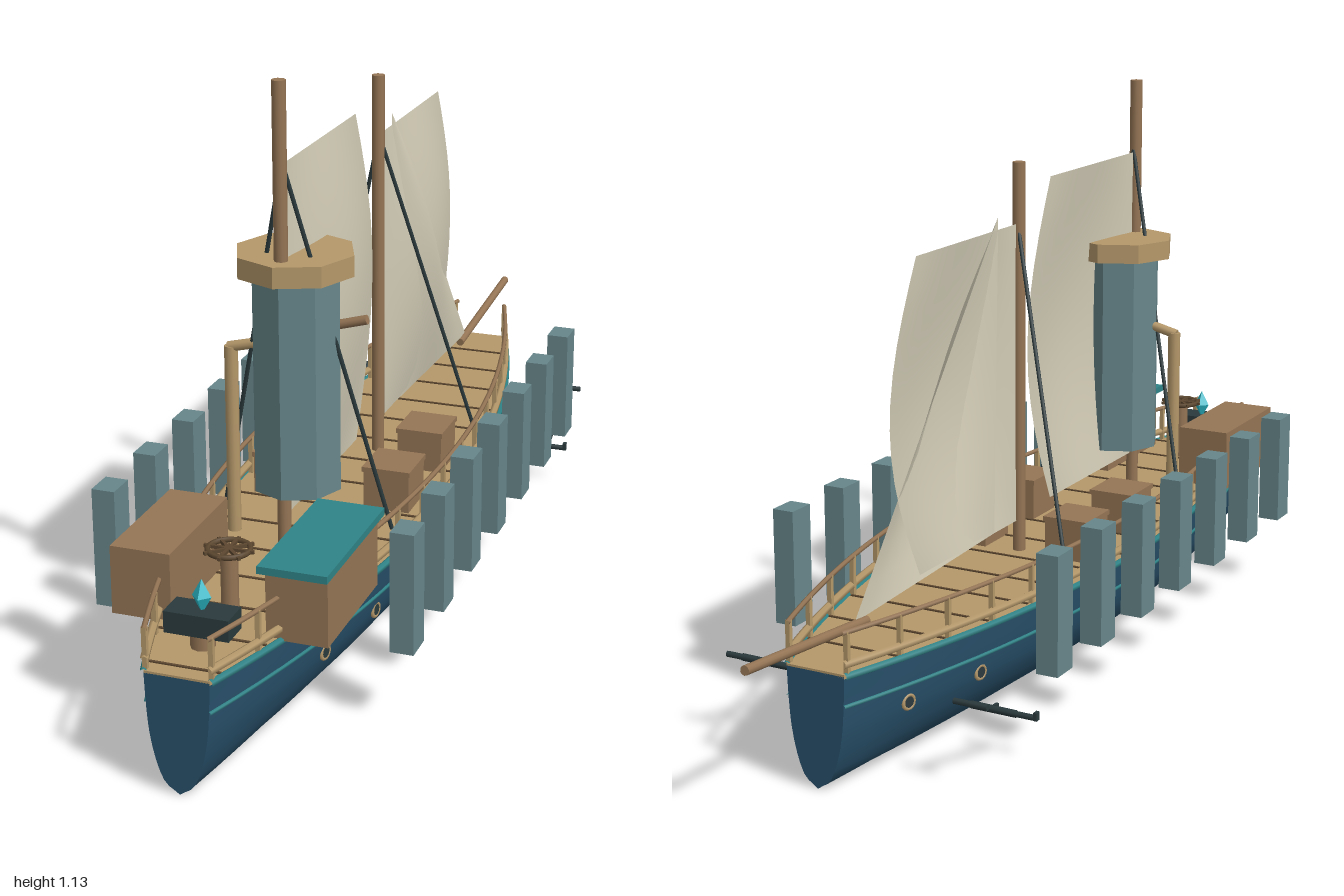
import * as THREE from 'three';

const mat = (name, color, extra = {}) => new THREE.MeshStandardMaterial({ name, color, ...extra });
const V = (x, y, z) => new THREE.Vector3(x, y, z);

export function createModel() {
  const M = {
    hull: mat('hull blue', 0x28506a),
    teal: mat('teal trim', 0x2f8488),
    deck: mat('pale wood', 0xb5986a),
    wood: mat('brown wood', 0x957555),
    slate: mat('slate', 0x67868a),
    sail: mat('sailcloth', 0xd2ccb6, { side: THREE.DoubleSide }),
    iron: mat('dark iron', 0x2b3a3d),
    seam: mat('dark wood', 0x5d4830),
    glow: mat('cyan crystal', 0x2cbccb),
  };
  const ship = new THREE.Group();
  ship.name = 'sailingShip';

  const add = (name, geo, m, x = 0, y = 0, z = 0) => {
    const mesh = new THREE.Mesh(geo, m);
    mesh.name = name;
    mesh.position.set(x, y, z);
    ship.add(mesh);
    return mesh;
  };
  const box = (name, m, w, h, d, x, y, z) => add(name, new THREE.BoxGeometry(w, h, d), m, x, y, z);
  // Round bar between two points
  const rod = (name, m, a, b, r, sides = 8) => {
    const mesh = add(name, new THREE.CylinderGeometry(r, r, a.distanceTo(b), sides), m);
    mesh.position.copy(a).lerp(b, 0.5);
    mesh.quaternion.setFromUnitVectors(V(0, 1, 0), b.clone().sub(a).normalize());
    return mesh;
  };

  // Half width of the hull at the deck
  const STERN = 1, BOW = -0.79, MID = 0.105, HALF = 0.895;
  const width = (z) => 0.215 - 0.155 * ((z - MID) / HALF) ** 2;
  const stations = Array.from({ length: 29 }, (_, i) => BOW + (STERN - BOW) * i / 28);

  // Hull lofted from one section, scaled by the width
  const half = new THREE.CatmullRomCurve3(
    [V(1, 0.222, 0), V(0.96, 0.165, 0), V(0.88, 0.11, 0), V(0.55, 0.032, 0), V(0, 0, 0)]).getPoints(14);
  const section = [...half, ...half.slice(0, -1).reverse().map((p) => V(-p.x, p.y, 0))];
  const sideX = (y) => {
    const k = half.findIndex((p) => p.y <= y);
    const a = half[k - 1], b = half[k];
    return a.x + (b.x - a.x) * (a.y - y) / (a.y - b.y);
  };
  const pos = [], idx = [], n = section.length;
  stations.forEach((z, i) => section.forEach((p, j) => {
    pos.push(p.x * width(z), p.y, z);
    if (i < stations.length - 1 && j < n - 1) {
      const a = i * n + j;
      idx.push(a, a + n, a + 1, a + 1, a + n, a + n + 1);
    }
  }));
  const hullGeo = new THREE.BufferGeometry();
  hullGeo.setAttribute('position', new THREE.Float32BufferAttribute(pos, 3));
  hullGeo.setIndex(idx);
  hullGeo.computeVertexNormals();
  add('hull', hullGeo, M.hull);
  const endShape = new THREE.Shape(section.map((p) => new THREE.Vector2(p.x * width(STERN), p.y)));
  add('sternEnd', new THREE.ShapeGeometry(endShape), M.hull, 0, 0, STERN);
  add('bowEnd', new THREE.ShapeGeometry(endShape), M.hull, 0, 0, BOW).rotation.y = Math.PI;

  // Deck with plank seams
  const outline = [...stations.map((z) => new THREE.Vector2(width(z), -z)),
    ...stations.slice().reverse().map((z) => new THREE.Vector2(-width(z), -z))];
  const deckGeo = new THREE.ExtrudeGeometry(new THREE.Shape(outline), { depth: 0.008, bevelEnabled: false });
  add('deck', deckGeo.rotateX(-Math.PI / 2), M.deck, 0, 0.218, 0);
  for (let i = 0; i < 15; i++) {
    const z = -0.67 + i * 0.117;
    box('plankSeam', M.seam, width(z) * 1.9, 0.003, 0.005, 0, 0.227, z);
  }

  // Trim, rails, posts and portholes on both sides
  for (const s of [1, -1]) {
    const along = (name, m, k, y, r) => add(name, new THREE.TubeGeometry(new THREE.CatmullRomCurve3(
      stations.map((z) => V(s * width(z) * k, y, z))), 56, r, 6), m);
    along('gunwaleTrim', M.teal, 1, 0.222, 0.007);
    along('hullStripe', M.teal, sideX(0.165), 0.165, 0.004);
    along('lowerRail', M.deck, 0.97, 0.244, 0.008);
    along('upperRail', M.wood, 0.95, 0.302, 0.005);
    for (let i = 0; i < 16; i++) {
      const z = -0.78 + i * 0.118;
      box('railPost', M.deck, 0.009, 0.08, 0.009, s * width(z) * 0.95, 0.264, z);
    }
    for (let i = 0; i < 8; i++) {
      const z = -0.64 + i * 0.187, x = s * width(z) * sideX(0.13);
      const port = new THREE.Group();
      port.name = 'porthole';
      const ring = new THREE.Mesh(new THREE.TorusGeometry(0.013, 0.004, 6, 14), M.deck);
      const glass = new THREE.Mesh(new THREE.CircleGeometry(0.012, 14), M.iron);
      glass.position.z = 0.003;
      port.add(ring, glass);
      port.position.set(x, 0.13, z);
      port.rotation.y = s * (Math.PI / 2 + 0.387 * (z - MID) * -s * s);
      ship.add(port);
    }
    // Floating side pillars
    for (let i = 0; i < 7; i++)
      box('sidePillar', M.slate, 0.045, 0.232, 0.06, s * 0.286, 0.268, -0.432 + i * 0.179);
    // Anchors
    const ax = s * 0.243;
    rod('anchorShank', M.iron, V(ax, 0.083, -0.5), V(ax, 0.163, -0.667), 0.007);
    rod('anchorStock', M.iron, V(ax - 0.034, 0.163, -0.667), V(ax + 0.034, 0.163, -0.667), 0.006);
    rod('anchorArms', M.iron, V(ax - 0.042, 0.083, -0.5), V(ax + 0.042, 0.083, -0.5), 0.006);
    for (const e of [1, -1]) box('anchorFluke', M.iron, 0.007, 0.016, 0.012, ax + e * 0.042, 0.087, -0.5);
    // Shrouds
    rod('aftShroud', M.iron, V(0, 0.98, 0.49), V(s * 0.17, 0.25, 0.38), 0.004, 6);
    rod('foreShroud', M.iron, V(0, 0.9, -0.04), V(s * 0.17, 0.25, -0.16), 0.004, 6);
    // Deck hatches
    for (const z of [-0.005, 0.205]) {
      box('hatch', M.wood, 0.092, 0.08, 0.097, s * 0.115, 0.264, z);
      box('hatchLid', M.wood, 0.098, 0.01, 0.103, s * 0.115, 0.307, z);
    }
  }

  // Masts and bowsprit
  rod('aftMast', M.wood, V(0, 0.22, 0.5), V(0, 1.13, 0.5), 0.013, 12);
  rod('foreMast', M.wood, V(0, 0.22, -0.035), V(0, 1.022, -0.035), 0.013, 12);
  rod('bowsprit', M.wood, V(0, 0.262, -0.62), V(0, 0.296, -0.999), 0.009, 10);

  // Sails, each a bent sheet
  const sail = (name, rule) => {
    const g = new THREE.PlaneGeometry(1, 1, 12, 12), uv = g.attributes.uv, p = g.attributes.position;
    for (let i = 0; i < p.count; i++) p.setXYZ(i, ...rule(uv.getX(i), uv.getY(i)).toArray());
    g.computeVertexNormals();
    add(name, g, M.sail);
  };
  const arc = (t) => Math.sin(Math.PI * t);
  const square = (z0, low, high, w) => (u, v) =>
    V(0.036 * arc(u) * arc(v), low + (high - low) * v, z0 - u * (w + 0.1 * arc(v)));
  sail('aftSail', square(0.495, 0.3, 0.975, 0.395));
  sail('foreSail', square(-0.04, 0.29, 0.9, 0.39));
  const peak = V(0, 0.925, -0.12), tack = V(0, 0.27, -0.66), clew = V(0, 0.29, -0.14);
  sail('jib', (u, v) => {
    const p = clew.clone().lerp(tack, u).lerp(peak, v);
    p.x = 0.045 * arc(u) * arc(v);
    return p;
  });

  // Eight-sided tower with its cap, pipe and peg
  const octagon = (r, h) => new THREE.CylinderGeometry(r, r, h, 8).toNonIndexed();
  const flat = (g) => { g.computeVertexNormals(); return g; };
  add('tower', flat(octagon(0.086, 0.42)), M.slate, 0, 0.55, 0.43);
  add('towerCap', flat(octagon(0.114, 0.04)), M.deck, 0, 0.78, 0.43);
  rod('pipe', M.deck, V(-0.13, 0.225, 0.43), V(-0.13, 0.6, 0.43), 0.013, 10);
  rod('pipeElbow', M.deck, V(-0.135, 0.597, 0.43), V(-0.075, 0.612, 0.43), 0.01, 10);
  rod('towerPeg', M.wood, V(0.07, 0.655, 0.405), V(0.13, 0.672, 0.405), 0.009, 10);

  // Deckhouses
  box('rightDeckhouse', M.wood, 0.114, 0.13, 0.26, -0.146, 0.288, 0.69);
  box('leftDeckhouse', M.wood, 0.114, 0.133, 0.26, 0.146, 0.289, 0.69);
  box('deckhouseRoof', M.teal, 0.128, 0.014, 0.3, 0.146, 0.361, 0.692);
  box('deckhouseVent', M.iron, 0.06, 0.045, 0.008, 0.146, 0.305, 0.556);

  // Steering wheel lying flat on its post
  rod('helmPost', M.wood, V(0, 0.225, 0.765), V(0, 0.35, 0.765), 0.016, 10);
  add('helmWheel', new THREE.TorusGeometry(0.038, 0.005, 6, 20).rotateX(Math.PI / 2), M.seam, 0, 0.354, 0.765);
  for (let i = 0; i < 4; i++)
    box('helmSpoke', M.seam, 0.094, 0.006, 0.006, 0, 0.354, 0.765).rotation.y = i * Math.PI / 4;

  // Crystal lamp at the stern
  rod('lampFoot', M.wood, V(0, 0.225, 0.887), V(0, 0.258, 0.887), 0.022, 10);
  box('lampTray', M.iron, 0.12, 0.04, 0.058, 0, 0.276, 0.887);
  add('lampCrystal', new THREE.OctahedronGeometry(0.018), M.glow, 0, 0.32, 0.887).scale.y = 1.8;

  return ship;
}
